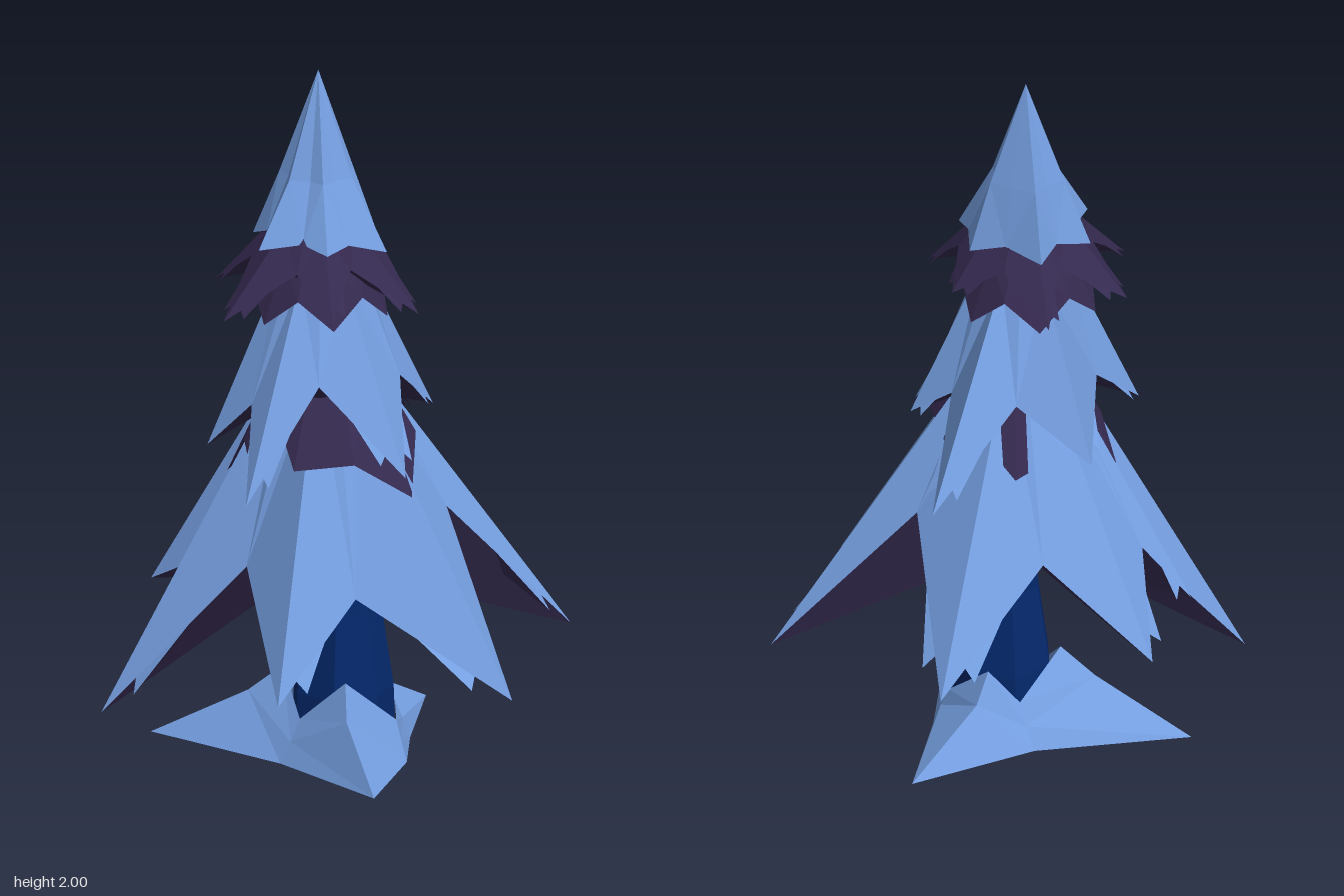
import * as THREE from 'three';

const flat = (color, name) => {
  const m = new THREE.MeshStandardMaterial({ color, flatShading: true, side: THREE.DoubleSide });
  m.name = name;
  return m;
};
const V = (x, y, z) => new THREE.Vector3(x, y, z);

// mesh from a list of triangles, each three Vector3
function facets(name, tris, material) {
  const g = new THREE.BufferGeometry().setFromPoints(tris.flat());
  g.computeVertexNormals();
  const mesh = new THREE.Mesh(g, material);
  mesh.name = name;
  return mesh;
}

// Star-shaped skirt of boughs. rim alternates valley, tip, valley, tip...
// A tip's fourth number, if any, limits its jagged tooth to one side.
// A ring above carries the shell; a second ring inside carries the underside.
function boughs(name, o, topMat, underMat) {
  const group = new THREE.Group();
  group.name = name;
  const [cx, cz] = o.center;
  const rim = o.rim.map(([x, y, z]) => V(x, y, z));
  const n = rim.length;
  const ringPoint = (p, r, y) => {
    const d = V(p.x - cx, 0, p.z - cz).setLength(r);
    return V(cx + d.x, y, cz + d.z);
  };
  const shell = [], under = [];
  for (let i = 1; i < n; i += 2) {
    const tip = rim[i];
    const top = ringPoint(tip, o.ringR, o.ringY);
    const inTip = ringPoint(tip, o.innerR, o.innerY);
    const u = V(tip.x - cx, 0, tip.z - cz).normalize();
    for (const side of [-1, 1]) {
      const valley = rim[(i + side + n) % n];
      const topV = ringPoint(valley, o.ringRValley ?? o.ringR, o.ringY);
      const inV = ringPoint(valley, o.innerR, o.innerYValley ?? o.innerY);
      const add = (list, a, b, c) => list.push(side < 0 ? [a, c, b] : [a, b, c]);
      add(shell, top, topV, valley);
      add(shell, top, valley, tip);
      add(under, inTip, valley, inV);
      add(under, inTip, tip, valley);
      // jagged tooth on the edge, dark beneath
      if (o.tooth && (o.rim[i][3] ?? side) === side) {
        const w = V(valley.x - cx, 0, valley.z - cz);
        w.addScaledVector(u, -w.dot(u)).normalize();
        const at = t => valley.clone().lerp(tip, t);
        const a = at(0.4), b = at(0.76);
        const spike = at(0.8).addScaledVector(w, o.tooth);
        spike.y -= o.tooth * 0.5;
        add(shell, a, spike, b);
        const keel = a.clone().lerp(b, 0.5).lerp(inTip, 0.1);
        add(under, keel, spike, a);
        add(under, keel, b, spike);
      }
      if (o.apex) add(shell, V(...o.apex), topV, top);
    }
  }
  group.add(facets(name + 'Shell', shell, topMat), facets(name + 'Underside', under, underMat));
  return group;
}

export function createModel() {
  const snow = flat(0x759fe1, 'snow blue');
  const needles = flat(0x352a50, 'dark purple needles');
  const bark = flat(0x04286c, 'navy bark');
  const tree = new THREE.Group();
  tree.name = 'snowyPine';

  // trunk, flared at the foot
  const trunk = new THREE.Mesh(new THREE.LatheGeometry(
    [[0.15, 0], [0.145, 0.18], [0.11, 0.42], [0.1, 0.8]].map(p => new THREE.Vector2(...p)), 7), bark);
  trunk.name = 'trunk';
  trunk.position.set(0, 0, -0.015);
  tree.add(trunk);

  // snow mound around the foot: three long points, open below
  // each rib runs from the ground over a knee to the bark
  const ribs = [
    [[-0.24, 0, 0.38], [-0.17, 0.16, 0.19], [-0.12, 0.25, 0.13]],
    [[0.04, 0, 0.21], [0.045, 0.06, 0.18], [0.05, 0.11, 0.155]],
    [[0.19, 0, 0.06], [0.175, 0.06, 0.045], [0.16, 0.11, 0.03]],
    [[0.47, 0, -0.18], [0.2, 0.14, -0.14], [0.14, 0.22, -0.12]],
    [[0.08, 0, -0.25], [0.075, 0.06, -0.21], [0.07, 0.12, -0.175]],
    [[-0.31, 0, -0.47], [-0.16, 0.15, -0.23], [-0.1, 0.23, -0.15]],
    [[-0.23, 0, -0.02], [-0.2, 0.06, -0.01], [-0.165, 0.12, -0.01]],
  ].map(rib => rib.map(p => V(...p)));
  const mound = [];
  ribs.forEach((p, i) => {
    const q = ribs[(i + 1) % ribs.length];
    for (let k = 0; k < 2; k++) mound.push([p[k], q[k], p[k + 1]], [q[k], q[k + 1], p[k + 1]]);
  });
  tree.add(facets('snowMound', mound, snow));

  // lower boughs
  tree.add(boughs('lowerBoughs', {
    center: [-0.03, -0.05], ringR: 0.11, ringY: 1.15, innerR: 0.1, innerY: 0.5, innerYValley: 0.66, tooth: 0.04,
    rim: [[0.2, 0.72, 0.2], [0.6, 0.3, 0.28, -1], [0.3, 0.73, 0], [0.53, 0.36, -0.375],
      [0.15, 0.66, -0.37], [-0.04, 0.39, -0.62, 1], [-0.18, 0.62, -0.41], [-0.3, 0.45, -0.48, -1],
      [-0.25, 0.56, -0.28], [-0.6, 0.15, -0.36, 1], [-0.33, 0.6, -0.05], [-0.5, 0.3, 0.265, 1],
      [-0.2, 0.55, 0.26], [0.065, 0.28, 0.62, -1]],
  }, snow, needles));

  // dark collar on top of the lower boughs
  tree.add(boughs('lowerCollar', {
    center: [-0.03, -0.04], ringR: 0.13, ringY: 1.15, innerR: 0.08, innerY: 1.0,
    rim: [[0.12, 0.95, 0.16], [0, 0.81, 0.275], [-0.15, 0.92, 0.2], [-0.27, 0.9, 0.08],
      [-0.24, 0.98, 0], [-0.28, 0.9, -0.1], [-0.24, 0.93, -0.16], [-0.22, 0.81, -0.25],
      [-0.1, 0.93, -0.26], [0.15, 0.88, -0.25], [0.17, 0.95, -0.16], [0.235, 0.91, -0.07]],
  }, needles, needles));

  // middle boughs
  tree.add(boughs('middleBoughs', {
    center: [-0.05, -0.05], ringR: 0.125, ringY: 1.42, innerR: 0.1, innerY: 1.05, tooth: 0.025,
    rim: [[0.19, 1.08, -0.02], [0.43, 0.85, -0.22], [0.13, 1.1, -0.23], [0.04, 0.97, -0.45],
      [-0.19, 1.08, -0.2], [-0.37, 0.94, -0.17, -1], [-0.32, 1.08, -0.04], [-0.48, 0.85, 0.11],
      [-0.22, 1.15, 0.13], [-0.12, 0.92, 0.38], [0.06, 1.13, 0.16], [0.24, 0.99, 0.1]],
  }, snow, needles));

  // dark collar on top of the middle boughs
  tree.add(boughs('upperCollar', {
    center: [-0.06, -0.05], ringR: 0.13, ringY: 1.48, innerR: 0.08, innerY: 1.38,
    rim: Array.from({ length: 12 }, (_, i) => {
      const a = i * Math.PI / 6 + 0.52, r = i % 2 ? 0.205 : 0.185;
      return [-0.06 + r * Math.cos(a), i % 2 ? 1.3 : 1.38, -0.05 + r * Math.sin(a)];
    }),
  }, needles, needles));

  // jagged dark fringe below the crown
  tree.add(boughs('crownFringe', {
    center: [-0.07, -0.04], ringR: 0.12, ringY: 1.57, innerR: 0.1, innerY: 1.42, tooth: 0.025,
    rim: [[0.08, 1.47, 0.08], [0.18, 1.39, -0.01], [0.09, 1.47, -0.13], [0.07, 1.35, -0.3],
      [-0.04, 1.47, -0.21], [-0.21, 1.36, -0.31], [-0.22, 1.47, -0.15], [-0.41, 1.34, -0.06],
      [-0.24, 1.47, 0.06], [-0.25, 1.37, 0.22], [-0.1, 1.47, 0.13], [0.04, 1.34, 0.26]],
  }, needles, needles));

  // pointed crown
  tree.add(boughs('crown', {
    center: [-0.05, -0.06], ringR: 0.11, ringRValley: 0.085, ringY: 1.7, innerR: 0.05, innerY: 1.52,
    apex: [-0.04, 2, -0.07],
    rim: [[0.07, 1.53, 0.05], [0.115, 1.5, -0.01], [0.06, 1.53, -0.1], [0.03, 1.51, -0.22],
      [-0.06, 1.53, -0.18], [-0.16, 1.51, -0.21], [-0.18, 1.54, -0.13], [-0.275, 1.52, -0.06],
      [-0.19, 1.54, 0.03], [-0.17, 1.52, 0.11], [-0.08, 1.53, 0.1], [0.02, 1.5, 0.15]],
  }, snow, needles));

  return tree;
}
